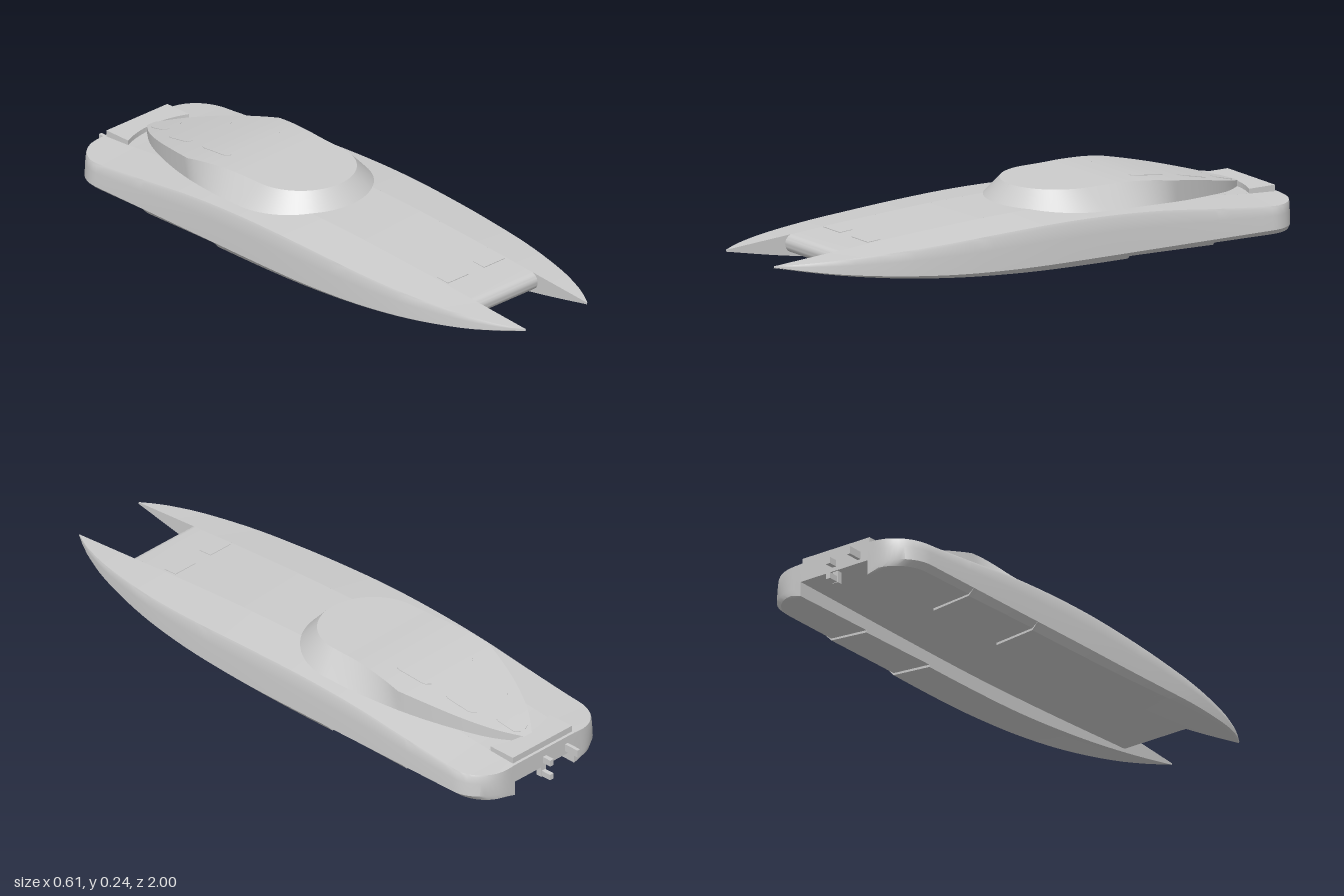
import * as THREE from 'three';
import { toCreasedNormals } from 'three/addons/utils/BufferGeometryUtils.js';

const TUNNEL = 0.135;   // half width of the tunnel between the hulls
const STERN = -0.945;

// Smooth curve through [z, value] pairs (z descending)
function curve(pts) {
  const slope = i => {
    const a = pts[Math.max(i - 1, 0)], b = pts[Math.min(i + 1, pts.length - 1)];
    return (b[1] - a[1]) / (b[0] - a[0]);
  };
  return z => {
    if (z >= pts[0][0]) return pts[0][1];
    let i = 0;
    while (i < pts.length - 2 && z < pts[i + 1][0]) i++;
    const [z0, v0] = pts[i], [z1, v1] = pts[i + 1], h = z1 - z0;
    const t = Math.min((z - z0) / h, 1), t2 = t * t, t3 = t2 * t;
    return (2 * t3 - 3 * t2 + 1) * v0 + (t3 - 2 * t2 + t) * h * slope(i)
      + (3 * t2 - 2 * t3) * v1 + (t3 - t2) * h * slope(i + 1);
  };
}

const deckMid = curve([[1, 0.13], [0.77, 0.146], [0.5, 0.164], [0.2, 0.179], [0, 0.183], [-0.2, 0.18],
  [-0.4, 0.168], [-0.6, 0.145], [-0.8, 0.122], [STERN, 0.113]]);
const deckEdge = curve([[1, 0.128], [0.77, 0.138], [0.5, 0.15], [0.2, 0.163], [0, 0.168], [-0.2, 0.165],
  [-0.4, 0.153], [-0.6, 0.131], [-0.8, 0.111], [STERN, 0.104]]);
const chine = curve([[1, 0.127], [0.8, 0.094], [0.6, 0.07], [0.4, 0.052], [0.2, 0.042], [0, 0.038], [STERN, 0.032]]);
const keelLine = curve([[1, 0.124], [0.8, 0.085], [0.6, 0.053], [0.4, 0.029], [0.2, 0.012], [0, 0.004], [-0.27, 0], [STERN, 0]]);
const beam = curve([[1, 0.137], [0.95, 0.168], [0.9, 0.192], [0.8, 0.228], [0.6, 0.271], [0.4, 0.292], [0.2, 0.301],
  [0, 0.304], [-0.4, 0.3], [-0.82, 0.296]]);
const roof = curve([[0.77, 0.09], [0.3, 0.065], [-0.1, 0.052], [STERN, 0.05]]);
const canopyTop = curve([[-0.24, 0.238], [-0.33, 0.238], [-0.45, 0.229], [-0.6, 0.203], [-0.75, 0.168], [-0.89, 0.13]]);

const deckY = (x, z) => THREE.MathUtils.lerp(deckMid(z), deckEdge(z),
  THREE.MathUtils.clamp((Math.abs(x) - TUNNEL) / 0.155, 0, 1));

// Half width, with the stern corners rounded
function halfWidth(z) {
  if (z > -0.82) return beam(z);
  const t = Math.min((-0.82 - z) / 0.125, 1);
  return 0.166 + 0.13 * Math.sqrt(1 - t * t);
}

// Bottom line with two shallow planing steps
function keel(z) {
  let step = 0;
  if (z < -0.6) step = 0.008 * (z - STERN) / 0.345;
  else if (z < -0.27) step = 0.008 * (z + 0.6) / 0.33;
  return keelLine(z) + step;
}

// Skin over sections listed front to back, each counter-clockwise seen from the front
function loft(sections, { closed = false, mirror = false, cap = false, crease = 0.5 } = {}) {
  const n = sections[0].length, pos = sections.flat().flatMap(([x, y, z]) => [mirror ? -x : x, y, z]), idx = [];
  const tri = (a, b, c) => mirror ? idx.push(a, c, b) : idx.push(a, b, c);
  for (let i = 0; i < sections.length - 1; i++)
    for (let j = 0; j < (closed ? n : n - 1); j++) {
      const a = i * n + j, b = i * n + (j + 1) % n;
      tri(a, a + n, b);
      tri(b, a + n, b + n);
    }
  const last = (sections.length - 1) * n;
  if (cap) for (let j = 1; j < n - 1; j++) tri(last, last + j + 1, last + j);
  const g = new THREE.BufferGeometry();
  g.setAttribute('position', new THREE.Float32BufferAttribute(pos, 3));
  g.setIndex(idx);
  return toCreasedNormals(g, crease);
}

function hullSection(z) {
  const w = halfWidth(z), d = w - TUNNEL, k = keel(z), c = chine(z);
  const e = deckY(w, z), inset = f => TUNNEL + d * (1 - f);
  const h = e - c;
  return [
    [TUNNEL, k, z],
    [inset(0.13), k + Math.min(0.012, (c - k) * 0.4), z],
    [w, c, z],
    [inset(0.025), c + h * 0.6, z],
    [inset(0.05), c + h * 0.92, z],
    [inset(0.075), deckY(w, z), z],
    [TUNNEL, deckMid(z), z],
  ];
}

export function createModel() {
  const group = new THREE.Group();
  const mat = new THREE.MeshStandardMaterial({ color: 0xcccccc });
  const thinMat = new THREE.MeshStandardMaterial({ color: 0xcccccc, side: THREE.DoubleSide });
  const add = (name, geo, x = 0, y = 0, z = 0, m = mat) => {
    const mesh = new THREE.Mesh(geo, m);
    mesh.name = name;
    mesh.position.set(x, y, z);
    group.add(mesh);
    return mesh;
  };
  const box = (name, w, h, d, x, y, z) => add(name, new THREE.BoxGeometry(w, h, d), x, y, z);

  // Twin hulls
  const stations = [-0.2701, -0.6001, -0.27, -0.6];
  for (let i = 0; i <= 44; i++) stations.push(1 - 1.82 * i / 44);
  for (let i = 1; i <= 12; i++) stations.push(-0.82 - 0.125 * Math.sin(i / 12 * Math.PI / 2));
  stations.sort((a, b) => b - a);
  const hull = stations.map(hullSection);
  add('leftHull', loft(hull, { closed: true, cap: true }));
  add('rightHull', loft(hull, { closed: true, cap: true, mirror: true }));

  // Centre deck and tunnel roof with a rounded leading edge
  const side = [];
  for (let i = 0; i <= 30; i++) {
    const z = STERN + (0.745 - STERN) * i / 30;
    side.push(new THREE.Vector2(-z, deckMid(z)));
  }
  const top = deckMid(0.745), low = roof(0.745), r = (top - low) / 2;
  for (let i = 1; i < 12; i++) {
    const a = Math.PI * i / 12;
    side.push(new THREE.Vector2(-0.745 - 0.027 * Math.sin(a), low + r + r * Math.cos(a)));
  }
  for (let i = 0; i <= 16; i++) {
    const z = 0.745 + (STERN - 0.745) * i / 16;
    side.push(new THREE.Vector2(-z, roof(z)));
  }
  const bridge = new THREE.ExtrudeGeometry(new THREE.Shape(side), { depth: 2 * TUNNEL, bevelEnabled: false });
  bridge.translate(0, 0, -TUNNEL).rotateY(Math.PI / 2);
  add('centreDeck', toCreasedNormals(bridge, 0.5));

  // Canopy: round sloping front, flat top, tail falling to a point
  const baseWidth = curve([[-0.2, 0.25], [-0.3, 0.243], [-0.4, 0.227], [-0.49, 0.205], [-0.6, 0.17], [-0.7, 0.13], [-0.8, 0.075], [-0.89, 0.002]]);
  const topWidth = curve([[-0.18, 0.18], [-0.28, 0.183], [-0.38, 0.193], [-0.49, 0.205]]);
  const canopy = [];
  const station = (b, zb, t, zt) => canopy.push([
    [b, deckY(b, zb) - 0.004, zb], [t, canopyTop(zt), zt], [-t, canopyTop(zt), zt], [-b, deckY(b, zb) - 0.004, zb]]);
  for (let i = 0; i <= 20; i++) {
    const a = Math.max(i / 20, 0.002) * Math.PI / 2, s = Math.sin(a), c = Math.cos(a);
    station(0.25 * s, -0.2 + 0.255 * c, 0.18 * s, -0.18 + 0.18 * c);
  }
  for (let i = 1; i <= 12; i++) {
    const zb = -0.2 - 0.29 * i / 12, zt = -0.18 - 0.31 * i / 12;
    station(baseWidth(zb), zb, Math.min(topWidth(zt), baseWidth(zb)), zt);
  }
  for (let i = 1; i <= 16; i++) {
    const z = -0.49 - 0.4 * i / 16, w = baseWidth(z);
    station(w, z, w, z);
  }
  add('canopy', loft(canopy, { crease: 0.45 }));

  // Rounded hatch panels following the canopy tail: front z, back z, front and back half widths
  [[-0.39, -0.53, 0.125, 0.113], [-0.59, -0.71, 0.103, 0.088], [-0.76, -0.85, 0.043, 0.03]].forEach(([zf, zb, wf, wb], k) => {
    const rows = [];
    for (let i = 0; i <= 12; i++) {
      const t = i / 12, z = THREE.MathUtils.lerp(zf, zb, t), end = Math.abs(2 * t - 1);
      const w = THREE.MathUtils.lerp(wf, wb, t) - 0.02 * end ** 8, y = canopyTop(z);
      rows.push([[w, y - 0.002, z], [w, y + 0.002, z], [-w, y + 0.002, z], [-w, y - 0.002, z]]);
    }
    add('canopyHatch' + (k + 1), loft(rows), 0, 0, 0, thinMat);
  });

  // Foredeck air intakes
  for (const s of [-1, 1]) {
    const intake = box(s > 0 ? 'leftIntake' : 'rightIntake', 0.092, 0.006, 0.05, s * 0.08, deckMid(0.605) - 0.001, 0.605);
    intake.rotation.x = 0.06;
  }

  // Raised stern wing
  const wing = new THREE.Shape();
  wing.moveTo(-TUNNEL, 0.935);
  wing.lineTo(TUNNEL, 0.935);
  wing.lineTo(TUNNEL, 0.835);
  wing.quadraticCurveTo(0, 0.895, -TUNNEL, 0.835);
  const wingGeo = new THREE.ExtrudeGeometry(wing, { depth: 0.035, bevelEnabled: false, curveSegments: 16 });
  wingGeo.rotateX(-Math.PI / 2);
  add('sternWing', wingGeo, 0, 0.1, 0);

  // Drive and steering gear on the transom
  box('driveMount', 0.022, 0.05, 0.02, 0, 0.035, -0.93);
  box('driveStrut', 0.016, 0.02, 0.05, 0, 0.022, -0.952);
  box('rudderArm', 0.012, 0.026, 0.065, -0.1, 0.075, -0.9675);
  box('steeringBracket', 0.016, 0.022, 0.04, 0, 0.075, -0.958);

  return group;
}
